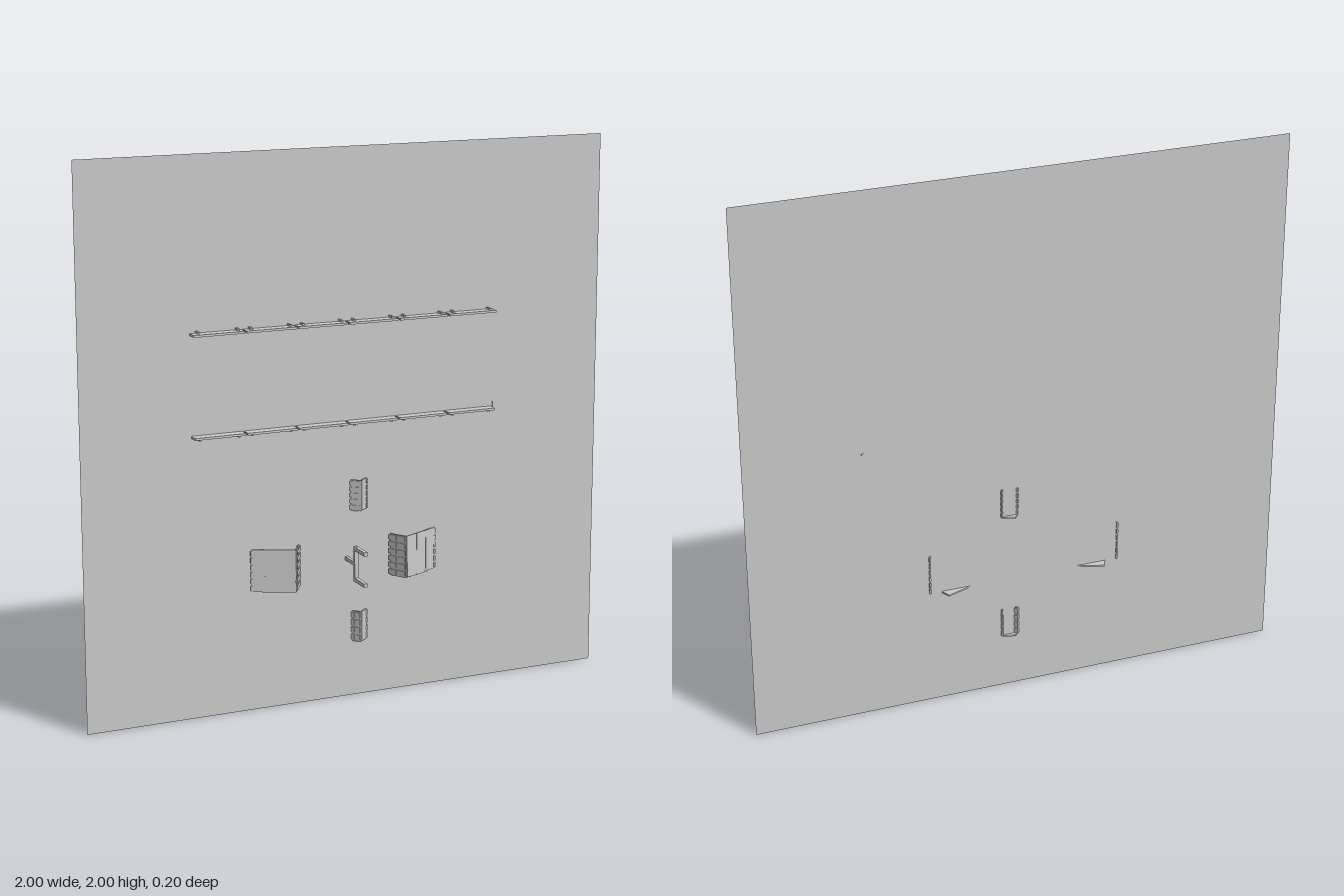
import * as THREE from 'three';

const mat = new THREE.MeshStandardMaterial({ color: 0xcccccc, flatShading: true, side: THREE.DoubleSide });
const WALL = -0.066;

function add(parent, name, geometry) {
  const m = new THREE.Mesh(geometry, mat);
  m.name = name;
  parent.add(m);
  return m;
}

// axis-aligned box from its limits
function box(parent, name, x0, x1, y0, y1, z0, z1) {
  const m = add(parent, name, new THREE.BoxGeometry(x1 - x0, y1 - y0, z1 - z0));
  m.position.set((x0 + x1) / 2, (y0 + y1) / 2, (z0 + z1) / 2);
  return m;
}

// upright sheet between plan points a and b ([x, z])
function sheet(parent, name, a, b, y0, y1, t) {
  const dx = b[0] - a[0], dz = b[1] - a[1];
  const m = add(parent, name, new THREE.BoxGeometry(Math.hypot(dx, dz), y1 - y0, t));
  m.position.set((a[0] + b[0]) / 2, (y0 + y1) / 2, (a[1] + b[1]) / 2);
  m.rotation.y = -Math.atan2(dz, dx);
  return m;
}

const mix = (a, b, t) => [a[0] + (b[0] - a[0]) * t, a[1] + (b[1] - a[1]) * t];

// horizontal plate from plan corners
function plate(parent, name, pts, y, t) {
  const shape = new THREE.Shape(pts.map(([x, z]) => new THREE.Vector2(x, -z)));
  const g = new THREE.ExtrudeGeometry(shape, { depth: t, bevelEnabled: false });
  g.rotateX(-Math.PI / 2);
  add(parent, name, g).position.y = y;
}

// folded cover: slatted face from outer edge to fold, toothed face from fold back to the wall
function cover(name, { outer, fold, inner, y0, y1, slats, rows, cols, base }) {
  const g = new THREE.Group();
  g.name = name;
  const h = y1 - y0;
  for (let i = 0; i < slats; i++) {
    const a = mix(outer, fold, i / slats), b = mix(outer, fold, (i + 0.95) / slats);
    sheet(g, 'slat', a, b, y0, y1, 0.005);
  }
  sheet(g, 'slatBacking', outer, fold, y0 + 0.002, y1 - 0.002, 0.003);
  sheet(g, 'toothedFace', fold, mix(fold, inner, 0.93), y0, y1, 0.004);
  for (let r = 0; r < rows; r++) {
    const ya = y0 + h * (r + 0.15) / rows, yb = y0 + h * (r + 0.85) / rows;
    for (let c = 0; c < cols; c++) {
      sheet(g, 'tooth', mix(fold, inner, (c + 0.15) / cols), mix(fold, inner, (c + 1) / cols), ya, yb, 0.011);
    }
    // small tabs that pass through the wall
    box(g, 'tab', outer[0] - 0.003, outer[0] + 0.003, ya, yb, -0.073, -0.06);
  }
  plate(g, 'basePlate', base, y0 - 0.003, 0.006);
  return g;
}

export function createModel() {
  const root = new THREE.Group();
  root.name = 'wallPanelWithFittings';

  // thin square wall
  add(root, 'wall', new THREE.PlaneGeometry(2, 2)).position.set(0, 1, WALL);

  // two long shelves, each in six lengths with small clips near the joints
  [[1.38, 1], [1.02, -1]].forEach(([y, side]) => {
    const shelf = new THREE.Group();
    shelf.name = side > 0 ? 'upperShelf' : 'lowerShelf';
    root.add(shelf);
    for (let i = 0; i < 6; i++) {
      const x0 = -0.598 + i * 0.1945, x1 = Math.min(x0 + 0.188, 0.562);
      box(shelf, 'shelfBoard', x0, x1, y, y + 0.008, -0.064, -0.025);
      for (const x of [x0 + 0.024, x1 - 0.018]) {
        const c = side > 0 ? y + 0.008 : y - 0.007;
        box(shelf, 'shelfClip', x - 0.004, x + 0.004, c, c + 0.007, -0.065, -0.04);
      }
    }
  });
  box(root, 'shelfHook', 0.57, 0.578, 1.022, 1.045, -0.068, -0.062);

  // mirrored pair of large covers
  [1, -1].forEach((s) => {
    const X = (d) => -0.021 + s * d;
    const p = (d, z) => [X(d), z];
    root.add(cover(s > 0 ? 'leftCover' : 'rightCover', {
      outer: p(0.36, -0.066), fold: p(0.217, 0), inner: p(0.178, -0.062),
      y0: 0.44, y1: 0.595, slats: 3, rows: 6, cols: 2,
      base: [p(0.3, -0.1), p(0.182, -0.058), p(0.215, -0.002), p(0.325, -0.045)],
    }));
  });

  // small covers above and below the handle
  root.add(cover('upperSmallCover', {
    outer: [0.067, -0.068], fold: [0.034, -0.04], inner: [0.003, -0.066],
    y0: 0.698, y1: 0.81, slats: 1, rows: 5, cols: 2,
    base: [[0.066, -0.072], [0.02, -0.083], [0.006, -0.066], [0.034, -0.042]],
  }));
  root.add(cover('lowerSmallCover', {
    outer: [0.067, -0.068], fold: [0.034, -0.04], inner: [0.006, -0.074],
    y0: 0.208, y1: 0.32, slats: 1, rows: 4, cols: 2,
    base: [[0.066, -0.072], [0.02, -0.08], [0.008, -0.07], [0.034, -0.042]],
  }));

  // central handle: post, upright and two forward arms
  const handle = new THREE.Group();
  handle.name = 'handle';
  root.add(handle);
  box(handle, 'handlePost', -0.017, -0.005, 0.513, 0.527, WALL, 0.015);
  box(handle, 'handleUpright', -0.018, -0.004, 0.455, 0.585, 0.008, 0.02);
  for (const y of [0.462, 0.577]) box(handle, 'handleArm', -0.018, -0.004, y - 0.007, y + 0.007, 0.008, 0.1);

  return root;
}
